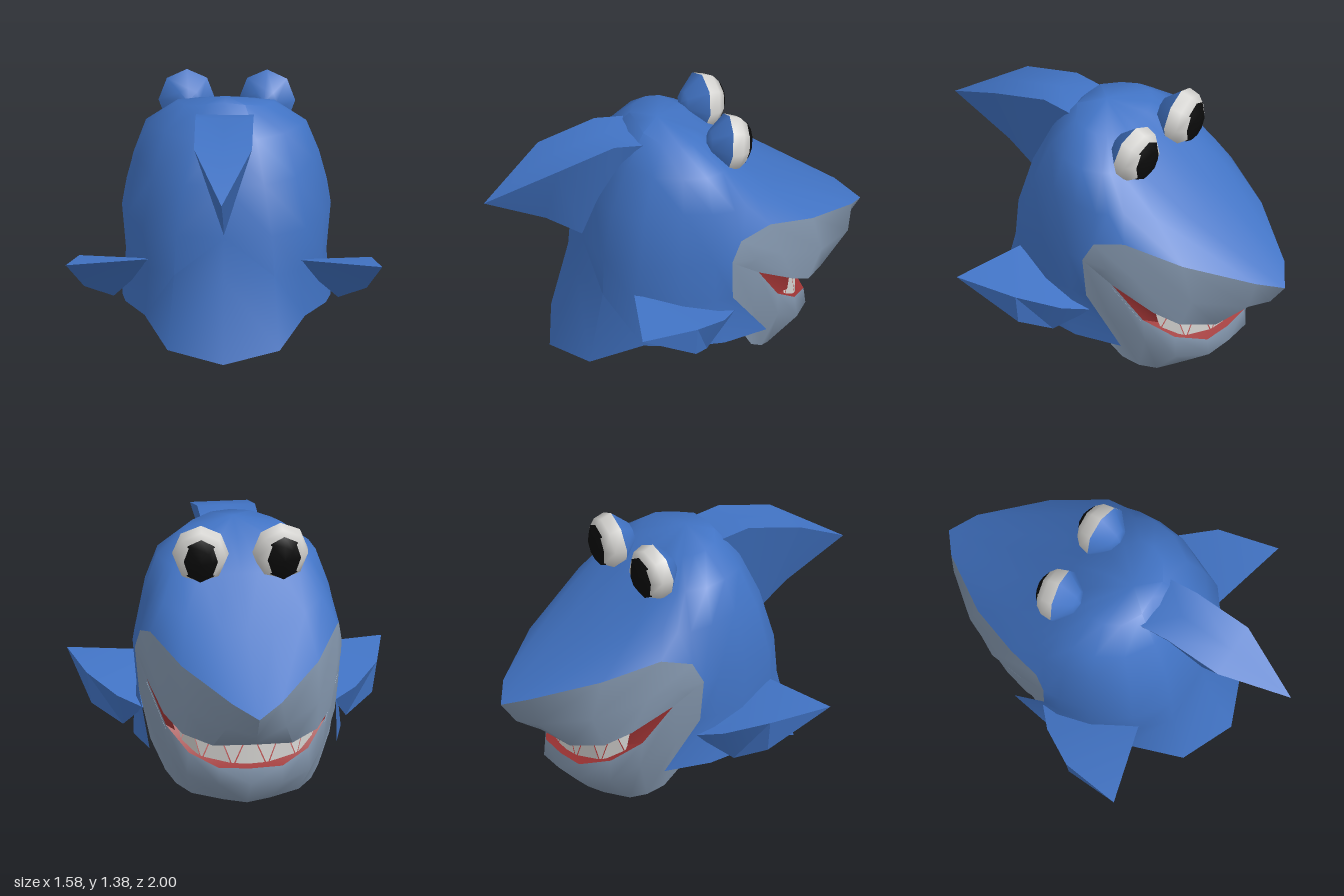
import * as THREE from 'three';
import { mergeVertices, toCreasedNormals } from 'three/addons/utils/BufferGeometryUtils.js';

const paint = (name, color, side = THREE.FrontSide) => {
  const m = new THREE.MeshStandardMaterial({ color, side });
  m.name = name;
  return m;
};

// Triangles of a patch: rows run downward, columns from back to front
function grid(rows) {
  const tris = [];
  for (let r = 0; r + 1 < rows.length; r++) {
    const n = Math.min(rows[r].length, rows[r + 1].length);
    for (let k = 0; k + 1 < n; k++) {
      const a = rows[r][k], b = rows[r + 1][k], c = rows[r + 1][k + 1], d = rows[r][k + 1];
      tris.push([a, b, c], [a, c, d]);
    }
  }
  return tris;
}

// Mesh from triangles of the +x half, mirrored across x = 0
function mirrored(name, material, tris, crease = 0.9) {
  const flip = ([x, y, z]) => [-x, y, z];
  const same = (p, q) => p.every((v, i) => v === q[i]);
  const good = tris.filter(([a, b, c]) => !same(a, b) && !same(b, c) && !same(a, c));
  const all = [...good, ...good.map(([a, b, c]) => [flip(a), flip(c), flip(b)])];
  let g = new THREE.BufferGeometry();
  g.setAttribute('position', new THREE.Float32BufferAttribute(all.flat(2), 3));
  g = toCreasedNormals(mergeVertices(g), crease);
  const mesh = new THREE.Mesh(g, material);
  mesh.name = name;
  return mesh;
}

export function createModel() {
  const blue = paint('skin blue', 0x4173c4);
  const grey = paint('muzzle grey', 0x8598af, THREE.DoubleSide);
  const red = paint('mouth red', 0x9e3434, THREE.DoubleSide);
  const white = paint('ivory white', 0xd6d5d2, THREE.DoubleSide);
  const black = paint('pupil black', 0x0b0b0b);
  const model = new THREE.Group();
  model.name = 'sharkHead';

  // Head: rings from the crown down to the collar, each from back to nose
  const crown = Array(11).fill([0, 1.325, 0.08]);
  const ring1 = [[0, 1.32, .19], [.1, 1.31, .19], [.2, 1.29, .13], [.24, 1.29, .05], [.24, 1.28, -.02],
    [.2, 1.27, -.06], [.17, 1.27, -.075], [.14, 1.27, -.09], [.09, 1.26, -.1], [.04, 1.26, -.1], [0, 1.26, -.1]];
  const ring2 = [[0, 1.17, .32], [.16, 1.16, .3], [.3, 1.17, .21], [.38, 1.18, .08], [.4, 1.17, -.04],
    [.36, 1.16, -.14], [.33, 1.155, -.17], [.29, 1.15, -.2], [.2, 1.14, -.24], [.09, 1.13, -.26], [0, 1.13, -.27]];
  const ring3 = [[0, .95, .42], [.2, .95, .39], [.36, .96, .28], [.44, 1.01, .1], [.465, .99, -.05],
    [.46, .98, -.17], [.44, .99, -.235], [.4, 1, -.3], [.3, .96, -.42], [.13, .91, -.51], [0, .91, -.54]];
  const ring4 = [[0, .7, .48], [.24, .7, .45], [.41, .71, .32], [.49, .73, .13], [.52, .73, -.04],
    [.52, .72, -.13], [.5, .825, -.185], [.47, .87, -.35], [.345, .77, -.62], [.125, .655, -.91], [0, .595, -1]];
  const ring5 = [[0, .5, .51], [.25, .5, .46], [.38, .5, .34], [.48, .5, .12], [.5, .5, -.05], [.5, .5, -.14]];
  const collar = [[0, .09, .65], [.28, .135, .54], [.4, .25, .3], [.5, .26, .08], [.52, .255, -.09], [.47, .25, -.33]];
  const belly = [0, .24, .04], throat = [0, .26, -.22];
  model.add(mirrored('head', blue, grid([crown, ring1, ring2, ring3, ring4, ring5, collar])));
  model.add(mirrored('headUnderside', blue, grid([[...collar, throat], Array(7).fill(belly)])));

  // Snout: from the skin edge down to the upper lip and under to the gum
  const corner = [.48, .605, -.285];
  const upperLip = [corner, corner, [.42, .485, -.49], [.34, .41, -.6], [.2, .38, -.72], [0, .39, -.76]];
  const upperGum = [corner, corner, [.39, .485, -.48], [.28, .43, -.56], [.16, .41, -.62], [0, .41, -.645]];
  const snoutMid = [[.5, .662, -.207], [.5, .7, -.27], [.46, .67, -.42], [.34, .57, -.67], [.15, .52, -.88], [0, .48, -.91]];
  model.add(mirrored('snout', grey, grid([ring4.slice(5), snoutMid, upperLip, upperGum]), 1.2));

  // Lower jaw: an open shell from the lip round the chin, hollow underneath
  const lowerLip = [corner, [.4, .4, -.415], [.3, .29, -.54], [.16, .235, -.64], [0, .23, -.65]];
  const jawMid = [[.5, .5, -.14], [.47, .4, -.26], [.39, .27, -.42], [.31, .18, -.55], [.16, .15, -.65], [0, .15, -.66]];
  const jawBase = [[.45, .26, -.2], [.385, .12, -.28], [.34, .07, -.35], [.27, .035, -.41], [.12, .015, -.47], [0, 0, -.49]];
  const toMiddle = row => row.map(([, y, z]) => [0, y, z]);
  model.add(mirrored('lowerJaw', grey, grid([[ring4[5], ...lowerLip], jawMid, jawBase]), 1.2));
  const hollow = lowerLip.map(([x, y, z]) => [x, y - .02, z]);
  model.add(mirrored('jawHollow', grey, grid([hollow, toMiddle(hollow)])));

  // Mouth lining: palate, floor and cheek webs
  model.add(mirrored('palate', red, grid([upperGum, toMiddle(upperGum)]), 0.3));
  model.add(mirrored('mouthFloor', red, grid([toMiddle(lowerLip), lowerLip]), 0.3));
  const webEnd = [.36, .39, -.48];
  model.add(mirrored('cheekWeb', red, [[corner, lowerLip[1], webEnd], [corner, webEnd, upperGum[2]]]));

  // Teeth: two interlocking rows of large thin triangles round the mouth
  const gum = (a, upper) => {
    const s = Math.sin(a) ** 2;
    return [.35 * Math.sin(a), upper ? .42 + .05 * s : .235 + .13 * s * s, -.41 - .21 * Math.cos(a)];
  };
  const step = 0.5, half = step * 0.46, upperTeeth = [], lowerTeeth = [];
  for (let i = 0; i < 3; i++) {
    const a = (i + 0.5) * step, b = i * step;
    upperTeeth.push([gum(a - half, true), gum(a, false), gum(a + half, true)]);
    lowerTeeth.push([gum(Math.max(b - half, 0), false), gum(b + half, false), gum(b, true)]);
  }
  model.add(mirrored('upperTeeth', white, upperTeeth, 0.2));
  model.add(mirrored('lowerTeeth', white, lowerTeeth, 0.2));

  // Dorsal fin: flat on top, tapering to a keel below
  const tip = [0, 1.01, 1];
  const finTop = [[.145, 1.265, .2], [.145, 1.287, .36], [.145, 1.21, .66], tip];
  const keel = [[0, .8, .3], [0, .715, .48], [0, .85, .67], tip];
  model.add(mirrored('dorsalFin', blue, grid([keel, finTop, toMiddle(finTop)]), 0.4));

  // Side fins: wedges with a flat top, a thick leading face and a flat underside
  const end = [.79, .545, .445], rear = [.34, .55, .33], root = [.48, .41, -.16];
  const brow = [.6, .445, -.06], ridge = [.73, .51, .13], edge = [.705, .35, .13], low = [.56, .27, .02];
  model.add(mirrored('sideFins', blue, [
    [rear, end, ridge], [rear, ridge, brow], [rear, brow, root],
    [ridge, end, edge], [ridge, edge, low], [ridge, low, brow], [brow, low, root],
    [rear, edge, end], [rear, low, edge], [rear, root, low]], 0.3));

  // Eyes: blue lid behind, white ball in front, large black pupil at the end
  const eyePart = (name, material, profile) => {
    const g = new THREE.LatheGeometry(profile.map(p => new THREE.Vector2(...p)), 8);
    const mesh = new THREE.Mesh(g, material);
    mesh.name = name;
    return mesh;
  };
  for (const side of [1, -1]) {
    const eye = new THREE.Group();
    eye.name = side > 0 ? 'leftEye' : 'rightEye';
    const pupil = eyePart('pupil', black, [[.1, .094], [.06, .122], [0, .128]]);
    pupil.scale.set(.95, 1, 1.1);
    eye.add(
      eyePart('eyelid', blue, [[0, -.1], [.06, -.085], [.142, 0]]),
      eyePart('eyeball', white, [[.142, 0], [.13, .06], [.095, .1], [0, .11]]),
      pupil);
    eye.rotation.set(-Math.PI / 2 - 0.14, 0, side * -0.1);
    eye.scale.z = 1.07;
    eye.position.set(side * .2, 1.226, -.212);
    model.add(eye);
  }
  return model;
}
